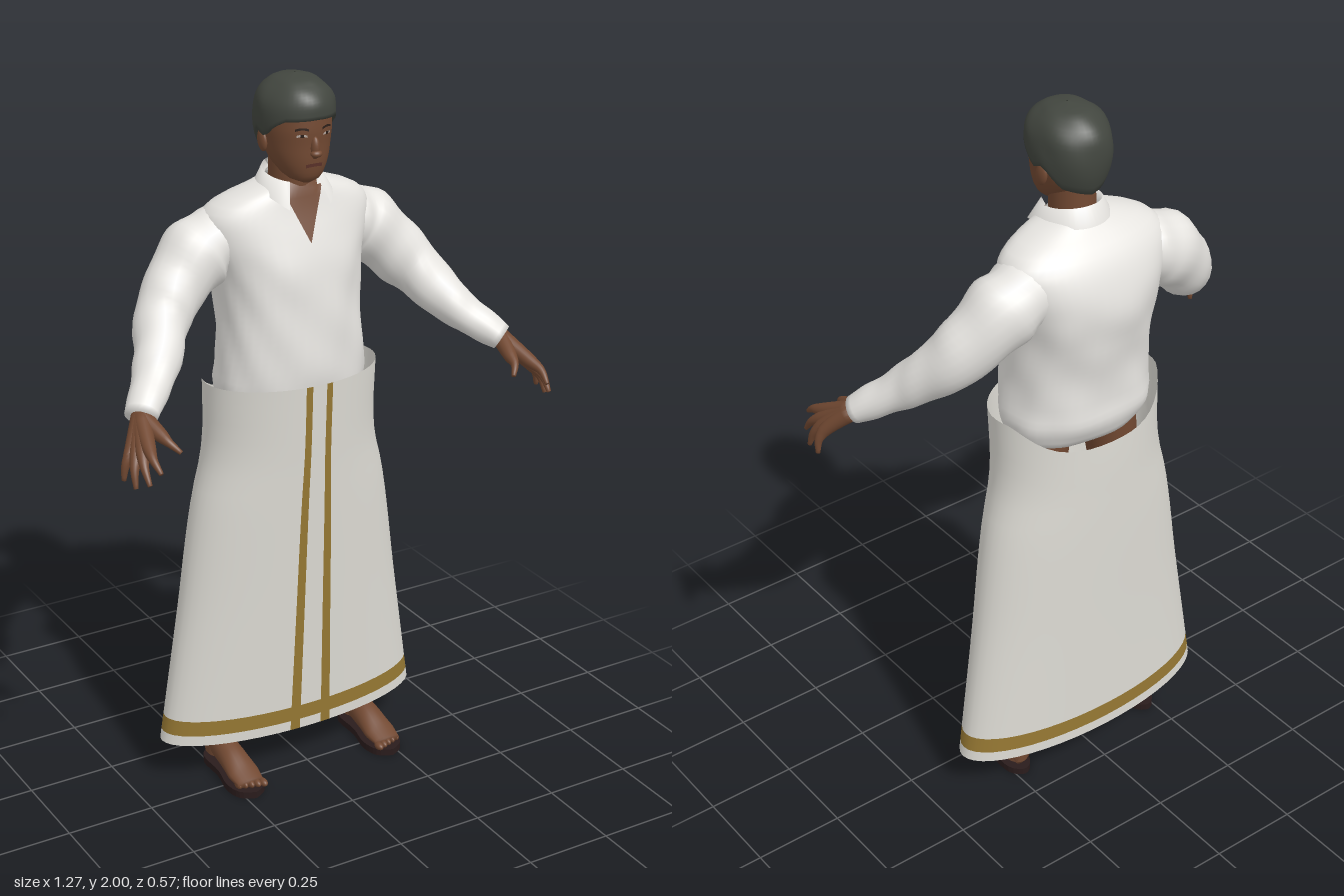
import * as THREE from 'three';
import { mergeVertices } from 'three/addons/utils/BufferGeometryUtils.js';

const V = (x, y, z) => new THREE.Vector3(x, y, z);
const mat = (name, color, side = THREE.FrontSide) => {
  const m = new THREE.MeshStandardMaterial({ color, side });
  m.name = name;
  return m;
};
const range = (a, b, n) => Array.from({ length: n + 1 }, (_, i) => a + (b - a) * i / n);

// piecewise linear lookup in [[key, value], ...]
function lookup(table, t) {
  let i = 1;
  while (i < table.length - 1 && t > table[i][0]) i++;
  const [a, va] = table[i - 1], [b, vb] = table[i];
  return va + (vb - va) * THREE.MathUtils.clamp((t - a) / (b - a), 0, 1);
}

// smooth body surface from sections [y, halfWidth, zFront, zBack]; angle 0 is the front
function surface(sections, power = 2) {
  const it = new THREE.CubicInterpolant(sections.map(s => s[0]), sections.flatMap(s => s.slice(1)), 3);
  const y0 = sections[0][0], y1 = sections[sections.length - 1][0];
  const pw = c => Math.sign(c) * Math.abs(c) ** (2 / power);
  return (a, y, grow = 0) => {
    const [rx, zf, zb] = it.evaluate(THREE.MathUtils.clamp(y, y0, y1));
    return V((rx + grow) * pw(Math.sin(a)), y, (zf + zb) / 2 + ((zf - zb) / 2 + grow) * pw(Math.cos(a)));
  };
}

// grid over f(u, v); paint(u, v) gives a material index for every cell
function grid(f, us, vs, paint) {
  const pos = [], index = [], w = us.length;
  vs.forEach(v => us.forEach(u => pos.push(...f(u, v).toArray())));
  let g = new THREE.BufferGeometry();
  for (let j = 0; j < vs.length - 1; j++) for (let i = 0; i < w - 1; i++) {
    const a = j * w + i;
    if (paint) g.addGroup(index.length, 6, paint((us[i] + us[i + 1]) / 2, (vs[j] + vs[j + 1]) / 2));
    index.push(a, a + 1, a + w + 1, a, a + w + 1, a + w);
  }
  g.setAttribute('position', new THREE.Float32BufferAttribute(pos, 3));
  g.setIndex(index);
  g = mergeVertices(g, 1e-5);
  g.computeVertexNormals();
  return g;
}
const AROUND = range(-Math.PI, Math.PI, 48);

// closed limb along a path; radii are [horizontal, vertical] pairs
function limb(points, radii, wrinkle = 0, steps = 28) {
  const curve = new THREE.CatmullRomCurve3(points);
  const n = radii.length - 1;
  return grid((u, k) => {
    const t = THREE.MathUtils.clamp((k - 1) / (steps - 2), 0, 1);
    const c = curve.getPoint(t), d = curve.getTangent(t);
    if (k === 0 || k === steps) return c;
    const a = V(0, 1, 0).cross(d).normalize(), b = d.clone().cross(a);
    const r = [0, 1].map(m => lookup(radii.map((p, i) => [i / n, p[m]]), t));
    const w = 1 + wrinkle * Math.sin(t * 34 + 2 * Math.sin(u)) * Math.cos(u + t * 5);
    return c.addScaledVector(a, r[0] * w * Math.cos(u)).addScaledVector(b, r[1] * w * Math.sin(u));
  }, range(0, Math.PI * 2, 20), range(0, steps, steps));
}

export function createModel() {
  const root = new THREE.Group();
  root.name = 'standingMan';
  const D = THREE.DoubleSide;
  const skin = mat('skin', 0x724932), hair = mat('hair', 0x42463f, D), shirt = mat('shirtCloth', 0xe6e4e0, D);
  const cloth = mat('wrapCloth', 0xdddbd4, D), gold = mat('goldBorder', 0x967833, D), sole = mat('sandalSole', 0x2a1c1c);
  const white = mat('eyeWhite', 0xb8aca4, D), dark = mat('browDark', 0x2c1f19, D), lip = mat('lips', 0x5c332a, D);
  const add = (name, geo, m, parent = root) => {
    const mesh = new THREE.Mesh(geo, m);
    mesh.name = name;
    parent.add(mesh);
    return mesh;
  };
  const ball = (name, m, p, s) => {
    const b = add(name, new THREE.SphereGeometry(1, 18, 12), m);
    b.position.set(...p);
    b.scale.set(...s);
    return b;
  };

  // wrapped skirt with hem band and two front stripes, rim dipping at the back
  const wrap = surface([[0.125, 0.403, 0.018, -0.255], [0.5, 0.343, 0.036, -0.258], [0.85, 0.288, 0.053, -0.262],
    [0.95, 0.262, 0.058, -0.262], [1.02, 0.253, 0.062, -0.262], [1.185, 0.254, 0.07, -0.258]]);
  const stripes = [-0.16, -0.085, 0.085, 0.16];
  const wrapUs = [...AROUND.filter(a => Math.abs(a) < 0.05 || Math.abs(a) > 0.18), ...stripes].sort((a, b) => a - b);
  add('wrapSkirt', grid((a, v) => {
    const dip = 0.085 * THREE.MathUtils.smoothstep(-Math.cos(a), 0.2, 1);
    return wrap(a, v > 0.9 ? v - dip * (v - 0.9) / 0.285 : v);
  }, wrapUs, [0.125, 0.155, 0.2, ...range(0.26, 1.185, 18)], (a, y) =>
    (y > 0.155 && y < 0.2) || (Math.abs(a) > 0.085 && Math.abs(a) < 0.16) ? 1 : 0), [cloth, gold]);

  // shirt body with soft folds
  const torso = surface([[1.1, 0.195, 0.045, -0.225], [1.16, 0.213, 0.055, -0.252], [1.21, 0.208, 0.06, -0.25],
    [1.3, 0.2, 0.058, -0.252], [1.4, 0.198, 0.05, -0.268], [1.5, 0.212, 0.038, -0.28], [1.58, 0.238, 0.014, -0.264],
    [1.64, 0.236, -0.006, -0.235], [1.675, 0.195, -0.016, -0.205], [1.7, 0.13, -0.022, -0.175], [1.72, 0.075, -0.03, -0.16]], 2.3);
  const folded = (a, y, grow = 0) => {
    const fade = THREE.MathUtils.smoothstep(1.62 - y, 0, 0.2);
    return torso(a, y, grow + 0.004 * fade * Math.sin(7 * a + 9 * y) * Math.sin(22 * y + 3 * Math.cos(a)));
  };
  add('shirtBody', grid((a, y) => y < 1.1 ? V(0, 1.1, -0.09) : folded(a, y), AROUND, [1.05, ...range(1.1, 1.72, 34)]), shirt);

  // open neckline
  add('neckOpening', grid((s, y) => {
    const half = 0.065 * (y - 1.565) / 0.155;
    const [rx] = [torso(Math.PI / 2, y).x];
    const p = torso(Math.asin(Math.min(1, (half * Math.abs(s) / rx) ** 1.15)) * Math.sign(s), y, 0.004);
    p.x = half * s;
    return p;
  }, range(-1, 1, 8), range(1.565, 1.72, 8)), skin);

  // folded collar, open at the front
  add('collar', grid((a, v) => {
    const front = (Math.cos(a) + 1) / 2, tip = front ** 4;
    const r = [0.066, 0.076, 0.1 + 0.012 * tip][v];
    const y = [1.735 - 0.03 * front, 1.756 - 0.03 * front, 1.705 - 0.06 * tip][v];
    return V(Math.sin(a) * r, y, -0.085 + 0.004 * v + Math.cos(a) * (r + 0.006));
  }, range(0.6, Math.PI * 2 - 0.6, 36), [0, 1, 2]), shirt);

  // neck and head
  add('neck', grid(surface([[1.58, 0.06, -0.03, -0.16], [1.7, 0.058, -0.022, -0.15], [1.82, 0.058, -0.015, -0.145]]),
    AROUND, range(1.58, 1.82, 6)), skin);
  const head = surface([[1.726, 0.012, 0.008, -0.02], [1.736, 0.038, 0.022, -0.055], [1.76, 0.06, 0.032, -0.1],
    [1.79, 0.075, 0.037, -0.135], [1.83, 0.085, 0.039, -0.16], [1.88, 0.09, 0.042, -0.17], [1.94, 0.08, 0.03, -0.16],
    [1.975, 0.045, -0.01, -0.12]], 2.15);
  add('head', grid((a, y) => y < 1.726 ? V(0, 1.726, -0.006) : head(a, y), AROUND, [1.7, ...range(1.726, 1.975, 22)]), skin);

  // hair cap with hairline, sideburns and nape
  const hairShape = surface([[1.78, 0.078, 0.03, -0.162], [1.84, 0.097, 0.042, -0.183], [1.9, 0.103, 0.054, -0.188],
    [1.95, 0.093, 0.046, -0.174], [1.98, 0.066, 0.015, -0.143], [1.994, 0.038, -0.018, -0.11], [2, 0.002, -0.06, -0.064]]);
  const hairline = [[0, 1.902], [0.8, 1.898], [1.15, 1.875], [1.4, 1.848], [1.75, 1.865], [2.2, 1.81], [3.15, 1.785]];
  add('hair', grid((a, t) => {
    const low = lookup(hairline, Math.abs(a));
    if (t < 0) return hairShape(a, low, -0.02);
    const lump = 0.002 * Math.sin(5 * a + 8 * t) * Math.sin(Math.PI * t);
    return hairShape(a, low + (2 - low) * (1 - (1 - t) ** 1.8), lump);
  }, AROUND, [-0.1, ...range(0, 1, 18)]), hair);

  // face details
  const patch = (name, m, a0, a1, y0, y1, bend = 0) => add(name, grid((a, y) => {
    const k = (a - a0) / (a1 - a0) * 2 - 1;
    return head(a, y + bend * (1 - k * k), 0.003);
  }, range(a0, a1, 6), [y0, y1]), m);
  patch('mouth', lip, -0.3, 0.3, 1.774, 1.783, 0.002);
  ball('nose', skin, [0, 1.826, 0.04], [0.012, 0.03, 0.014]);
  ball('noseTip', skin, [0, 1.812, 0.047], [0.016, 0.01, 0.013]);
  for (const s of [1, -1]) {
    const side = s > 0 ? 'left' : 'right';
    const c = 0.38 * s;
    patch(side + 'Eye', white, c - 0.15, c + 0.15, 1.856, 1.862, 0.003);
    patch(side + 'Pupil', dark, c - 0.05, c + 0.05, 1.8565, 1.865).position.z = 0.001;
    patch(side + 'Brow', dark, c - 0.19, c + 0.19, 1.872, 1.878, 0.004);
    ball(side + 'Ear', skin, [0.089 * s, 1.832, -0.075], [0.01, 0.03, 0.02]).rotation.x = -0.2;

    // sleeve
    add(side + 'Sleeve', limb([V(0.15 * s, 1.58, -0.13), V(0.25 * s, 1.537, -0.135), V(0.372 * s, 1.418, -0.09),
      V(0.455 * s, 1.31, 0.015), V(0.55 * s, 1.228, 0.112)],
    [[0.09, 0.085], [0.095, 0.1], [0.076, 0.08], [0.06, 0.056], [0.043, 0.037]], 0.045, 44), shirt);

    // hand: palm and five digits fanning from the wrist
    const hand = new THREE.Group();
    hand.name = side + 'Hand';
    root.add(hand);
    const digits = [['thumb', [0.53, 1.2, 0.185], [0.503, 1.168, 0.24]], ['indexFinger', [0.578, 1.185, 0.212], [0.582, 1.145, 0.285]],
      ['middleFinger', [0.59, 1.172, 0.2], [0.604, 1.11, 0.265]], ['ringFinger', [0.6, 1.162, 0.185], [0.622, 1.09, 0.222]],
      ['littleFinger', [0.607, 1.16, 0.165], [0.63, 1.095, 0.17]]];
    for (const [name, k, t] of digits) {
      const knuckle = V(k[0] * s, k[1], k[2]), end = V(t[0] * s, t[1], t[2]);
      const bend = knuckle.clone().lerp(end, 0.5).add(V(0.006 * s, 0.005, 0.003));
      add(name, limb([V(0.548 * s, 1.228, 0.11), knuckle, bend, end],
        [[0.026, 0.026], [0.018, 0.018], [0.011, 0.011], [0.006, 0.006]], 0, 14), skin, hand);
    }

    // leg, foot, toes and sandal sole
    const x = 0.225 * s;
    const leg = surface([[0.04, 0.034, -0.075, -0.165], [0.12, 0.033, -0.065, -0.168], [0.35, 0.05, -0.055, -0.18],
      [0.6, 0.055, -0.05, -0.17], [1.1, 0.075, -0.02, -0.18]]);
    add(side + 'Leg', grid((a, y) => leg(a, y).add(V(x - 0.12 * s * Math.max(0, y - 0.12), 0, 0)),
      AROUND, range(0.04, 1.1, 14)), skin);
    add(side + 'Foot', limb([V(x, 0.052, -0.16), V(x, 0.068, -0.1), V(x, 0.058, -0.03), V(x, 0.042, 0.03), V(x, 0.033, 0.075)],
      [[0.024, 0.03], [0.034, 0.045], [0.04, 0.037], [0.046, 0.024], [0.04, 0.013]]), skin);
    for (let i = 0; i < 5; i++) {
      ball(side + 'Toe' + (i + 1), skin, [x + s * (i - 2) * 0.017, 0.03, 0.083 - i * 0.006], [0.011 - i * 0.001, 0.011, 0.018]);
    }
    const edge = [[0.04, 0.08], [0.052, 0.025], [0.038, -0.05], [0.036, -0.14]];
    const outline = [[0, 0.105], ...edge, [0, -0.175], ...edge.map(([a, b]) => [-a, b]).reverse()];
    const shape = new THREE.Shape(new THREE.SplineCurve([...outline, outline[0]].map(p => new THREE.Vector2(...p))).getPoints(40).slice(0, -1));
    const slab = new THREE.ExtrudeGeometry(shape, { depth: 0.02, bevelEnabled: false });
    add(side + 'Sole', slab.rotateX(Math.PI / 2).translate(x, 0.02, 0), sole);
  }
  return root;
}
